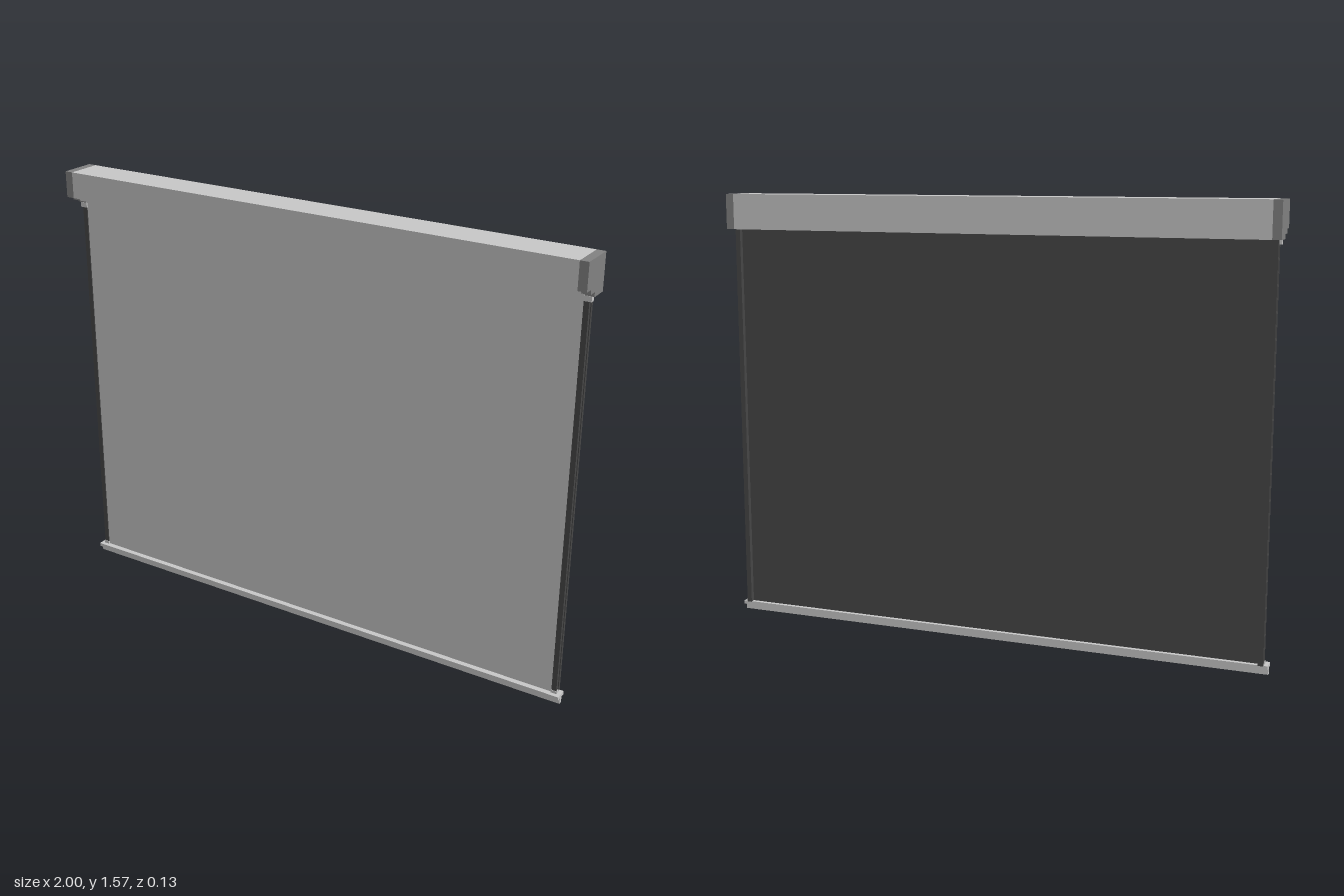
import * as THREE from 'three';

const mat = (name, color) => {
  const m = new THREE.MeshStandardMaterial({ color });
  m.name = name;
  return m;
};

export function createModel() {
  const root = new THREE.Group();
  root.name = 'rollerBlind';
  const light = mat('lightGrey', 0xc9c9c9);
  const mid = mat('midGrey', 0x838383);
  const dark = mat('darkGrey', 0x484848);

  const add = (name, geometry, material) => {
    const mesh = new THREE.Mesh(geometry, material);
    mesh.name = name;
    root.add(mesh);
    return mesh;
  };
  const shapeOf = (points) => new THREE.Shape(points.map(([a, b]) => new THREE.Vector2(a, b)));
  // Box given by its limits on each axis
  const box = (name, [x0, x1], [y0, y1], [z0, z1], material) => {
    const g = new THREE.BoxGeometry(x1 - x0, y1 - y0, z1 - z0);
    g.translate((x0 + x1) / 2, (y0 + y1) / 2, (z0 + z1) / 2);
    return add(name, g, material);
  };
  // Extrudes a [z, y] profile along x
  const alongX = (name, profile, x0, x1, material) => {
    const g = new THREE.ExtrudeGeometry(shapeOf(profile.map(([z, y]) => [-z, y])),
      { depth: x1 - x0, bevelEnabled: false });
    g.rotateY(Math.PI / 2).translate(x0, 0, 0);
    return add(name, g, material);
  };

  // Stepped cassette with end caps of the same section
  const cassette = [
    [0.0645, 1.573], [0.0645, 1.479], [0.033, 1.479], [0.033, 1.463],
    [0.001, 1.463], [0.001, 1.447], [-0.0645, 1.447], [-0.0645, 1.573],
  ];
  alongX('cassette', cassette, -0.97, 0.97, light);
  alongX('endCapRight', cassette, -1, -0.97, mid);
  alongX('endCapLeft', cassette, 0.97, 1, mid);

  // Fabric: light face and dark backing
  box('screenFront', [-0.968, 0.968], [0.03, 1.463], [-0.008, -0.003], light);
  box('screenBack', [-0.97, 0.97], [0.03, 1.45], [-0.014, -0.008], dark);

  // Bottom bar: wide flange over a narrow stem
  alongX('bottomBar', [
    [0.017, 0.035], [0.017, 0.022], [0.001, 0.022], [0.001, 0],
    [-0.013, 0], [-0.013, 0.022], [-0.029, 0.022], [-0.029, 0.035],
  ], -1, 1, light);

  // Side rails with a shallow groove on the outer face, plus end brackets
  for (const s of [-1, 1]) {
    const side = s < 0 ? 'Right' : 'Left';
    const section = [
      [0.967, 0], [0.985, 0], [0.985, 0.011], [0.981, 0.011],
      [0.981, 0.019], [0.985, 0.019], [0.985, 0.03], [0.967, 0.03],
    ].map(([x, d]) => [s * x, d]);
    const rail = new THREE.ExtrudeGeometry(shapeOf(section), { depth: 1.415, bevelEnabled: false });
    rail.rotateX(-Math.PI / 2).translate(0, 0.033, 0);
    add('rail' + side, rail, dark);

    const span = (a, b) => (s > 0 ? [a, b] : [-b, -a]);
    box('topBracket' + side, span(0.966, 0.993), [1.43, 1.448], [-0.014, 0.002], light);
    box('bottomBracket' + side, span(0.966, 0.987), [0.033, 0.045], [-0.014, 0.002], light);
  }
  return root;
}
